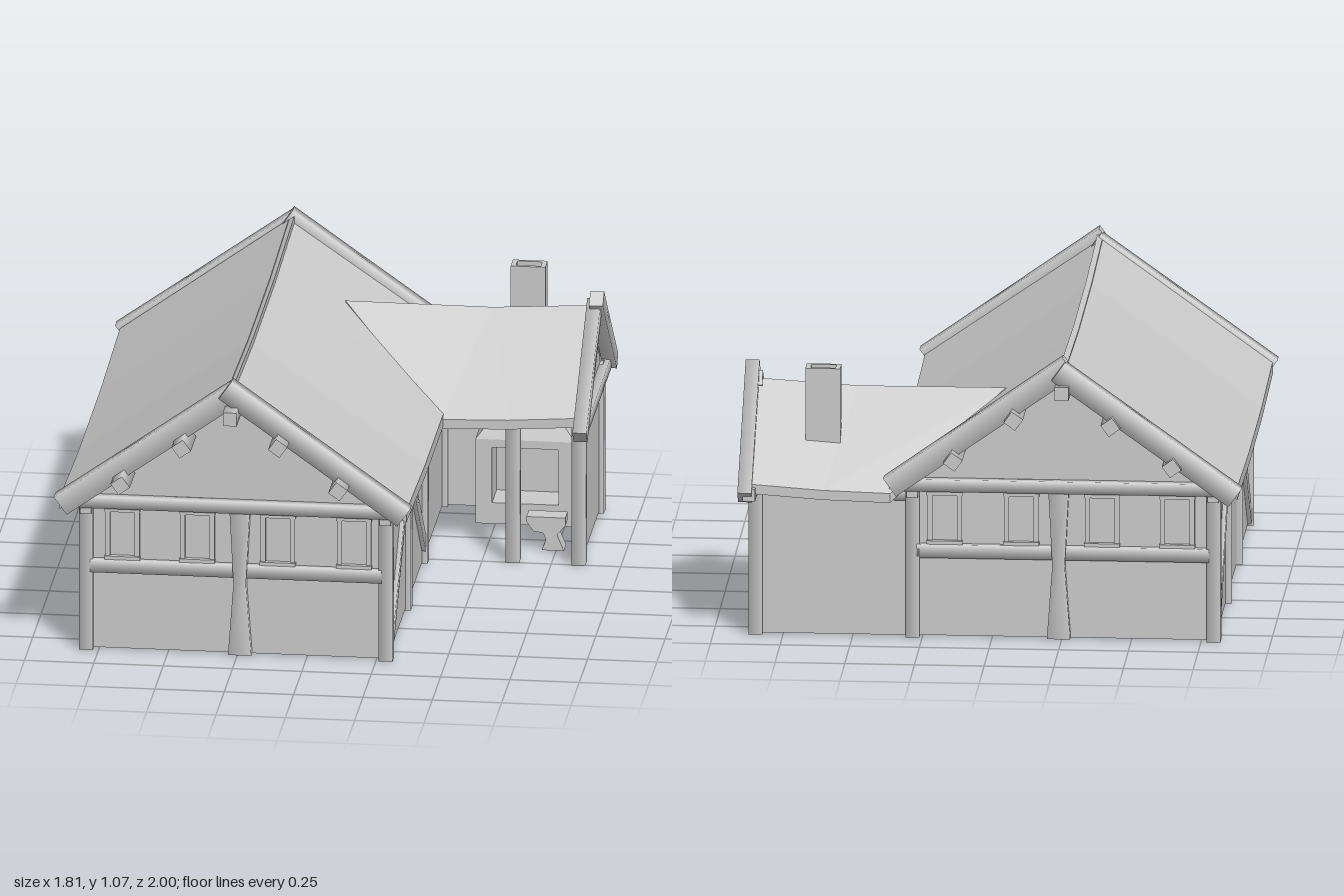
import * as THREE from 'three';

const V = (x, y, z) => new THREE.Vector3(x, y, z);

export function createModel() {
  const model = new THREE.Group();
  const wood = new THREE.MeshStandardMaterial({ color: 0xcccccc });
  const flat = new THREE.MeshStandardMaterial({ color: 0xcccccc, flatShading: true, side: THREE.DoubleSide });

  const add = (name, geometry, material = flat) => {
    const mesh = new THREE.Mesh(geometry, material);
    mesh.name = name;
    model.add(mesh);
    return mesh;
  };

  // Softly shaded square timber between two points
  const beam = (name, a, b, w = 0.05, d = w, twist = 0) => {
    const dir = b.clone().sub(a);
    const g = new THREE.CylinderGeometry(Math.SQRT1_2, Math.SQRT1_2, 1, 4);
    g.rotateY(Math.PI / 4).scale(w, dir.length(), d);
    const m = add(name, g, wood);
    m.position.copy(a).add(b).multiplyScalar(0.5);
    m.quaternion.setFromUnitVectors(V(0, 1, 0), dir.normalize());
    m.rotateY(twist);
    return m;
  };

  const box = (name, x0, x1, y0, y1, z0, z1) => {
    const m = add(name, new THREE.BoxGeometry(x1 - x0, y1 - y0, z1 - z0));
    m.position.set((x0 + x1) / 2, (y0 + y1) / 2, (z0 + z1) / 2);
    return m;
  };

  const plate = (name, points, depth, holes = []) => {
    const toPath = (C, pts) => new C(pts.map(p => new THREE.Vector2(...p)));
    const shape = toPath(THREE.Shape, points);
    holes.forEach(h => shape.holes.push(toPath(THREE.Path, h)));
    return add(name, new THREE.ExtrudeGeometry(shape, { depth, bevelEnabled: false }));
  };

  // Roof slab: stations of [ridge, eave] pairs, given a thickness downwards
  const roofSlab = (name, stations, thick) => {
    const rings = stations.map(([r, e]) => [r, e, V(e.x, e.y - thick, e.z), V(r.x, r.y - thick, r.z)]);
    const pos = [];
    const quad = (a, b, c, d) => [a, b, c, a, c, d].forEach(p => pos.push(p.x, p.y, p.z));
    for (let i = 0; i + 1 < rings.length; i++) {
      const p = rings[i], q = rings[i + 1];
      for (let j = 0; j < 4; j++) quad(p[j], q[j], q[(j + 1) % 4], p[(j + 1) % 4]);
    }
    quad(...rings[0]);
    quad(...rings[rings.length - 1].slice().reverse());
    const g = new THREE.BufferGeometry();
    g.setAttribute('position', new THREE.Float32BufferAttribute(pos, 3));
    g.computeVertexNormals();
    add(name, g);
  };

  // Main roof, sagging in the middle
  const mainStations = (ridgeX, ridgeY, eaveX) => [-0.92, -0.33, 0.33, 0.9].map((z, i) => {
    const sag = i === 1 || i === 2 ? 0.025 : 0;
    return [V(ridgeX, ridgeY - sag, z), V(eaveX, 0.605 - sag, z)];
  });
  roofSlab('mainRoofLeft', mainStations(-0.275, 1.05, 0.365), 0.045);
  roofSlab('mainRoofRight', mainStations(-0.255, 1.062, -0.885).reverse(), 0.045);

  // Side wing roof, cut where it meets the main roof
  const wingStations = eaveZ => [
    [V(-0.03, 0.87, -0.57), V(0.36, 0.565, eaveZ)],
    [V(0.5, 0.868, -0.57), V(0.6, 0.572, eaveZ)],
    [V(0.86, 0.89, -0.57), V(0.86, 0.59, eaveZ)],
  ];
  roofSlab('wingRoofFront', wingStations(-0.2).reverse(), 0.035);
  roofSlab('wingRoofBack', wingStations(-0.935), 0.035);

  // Main walls and ceiling
  box('leftWall', 0.27, 0.29, 0.02, 0.57, -0.84, 0.84);
  box('rightWall', -0.8, -0.78, 0.02, 0.57, -0.84, 0.84);
  box('ceiling', -0.79, 0.28, 0.555, 0.565, -0.83, 0.83);

  // Both gable ends: wall, beams, posts, windows, rafters and purlin ends
  for (const s of [1, -1]) {
    const wall = plate('gableWall', [[-0.8, 0.02], [0.29, 0.02], [0.29, 0.6], [-0.255, 0.99], [-0.8, 0.6]], 0.02);
    wall.position.z = s > 0 ? 0.82 : -0.84;

    beam('tieBeam', V(-0.85, 0.58, s * 0.85), V(0.35, 0.58, s * 0.85), 0.045);
    beam('middleBeam', V(-0.78, 0.335, s * 0.84), V(0.27, 0.335, s * 0.84), 0.05, 0.04);

    // Centre post, pinched at the waist
    const g = new THREE.CylinderGeometry(Math.SQRT1_2, Math.SQRT1_2, 1, 4, 2);
    g.rotateY(Math.PI / 4).scale(0.08, 0.54, 0.06);
    const p = g.attributes.position;
    for (let i = 0; i < p.count; i++) {
      const y = p.getY(i);
      const k = Math.abs(y) < 0.1 ? 0.56 : y > 0 ? 0.9 : 1.05;
      p.setX(i, p.getX(i) * k);
    }
    add('centrePost', g, wood).position.set(-0.24, 0.29, s * 0.84);

    for (const x of [-0.665, -0.395, -0.105, 0.17]) {
      for (const side of [-1, 1])
        box('windowJamb', x + side * 0.053 - 0.009, x + side * 0.053 + 0.009, 0.37, 0.54, s * 0.83 - 0.02, s * 0.83 + 0.02);
      box('windowSill', x - 0.064, x + 0.064, 0.355, 0.373, s * 0.83 - 0.028, s * 0.83 + 0.028);
      box('windowLintel', x - 0.064, x + 0.064, 0.54, 0.558, s * 0.83 - 0.025, s * 0.83 + 0.025);
    }

    const zr = s > 0 ? 0.9 : -0.953, zl = s > 0 ? 0.92 : -0.933;
    beam('bargeBeamRight', V(-0.88, 0.58, zr), V(-0.245, 1.035, zr), 0.08, 0.05);
    beam('bargeBeamLeft', V(0.36, 0.592, zl), V(-0.284, 1.05, zl), 0.08, 0.05);

    for (const [x, y, a] of [[-0.26, 0.96, 0], [-0.435, 0.84, 0.62], [-0.655, 0.692, 0.62], [-0.087, 0.857, -0.62], [0.13, 0.702, -0.62]])
      beam('purlinEnd', V(x, y, s * 0.82), V(x, y, s), 0.05, 0.05, a);
  }

  // Side posts, wall plates and diagonal braces of the main house
  for (const x of [-0.795, 0.285]) {
    for (const z of [-0.835, -0.28, 0.28, 0.835]) {
      const postZ = x > 0 && z === -0.28 ? -0.225 : z;
      beam('sidePost', V(x, 0.015, postZ), V(x, 0.56, postZ));
    }
    beam('wallPlate', V(x, 0.555, -0.87), V(x, 0.555, 0.87), 0.04);
    beam('brace', V(x, 0.04, 0.82), V(x, 0.535, 0.31), 0.04, 0.045);
  }
  beam('brace', V(0.285, 0.53, 0.24), V(0.285, 0.08, -0.21), 0.04, 0.045);
  beam('brace', V(-0.795, 0.04, -0.82), V(-0.795, 0.535, -0.31), 0.04, 0.045);

  // Open wing: back wall, gabled end wall, posts and beams
  box('wingBackWall', 0.28, 0.85, 0.02, 0.58, -0.845, -0.825);
  const end = plate('wingEndWall', [[0.27, 0.02], [0.84, 0.02], [0.84, 0.6], [0.57, 0.83], [0.27, 0.6]], 0.02);
  end.rotation.y = Math.PI / 2;
  end.position.x = 0.835;
  for (const [x, z] of [[0.61, -0.27], [0.848, -0.27], [0.848, -0.835]])
    beam('wingPost', V(x, 0.015, z), V(x, 0.55, z));
  for (const z of [-0.265, -0.84]) {
    beam('wingPlate', V(0.29, 0.54, z), V(0.6, 0.545, z), 0.04);
    beam('wingPlate', V(0.6, 0.545, z), V(0.87, 0.56, z), 0.04);
  }
  beam('wingTieBeam', V(0.865, 0.555, -0.17), V(0.865, 0.555, -0.96), 0.045);
  beam('wingBargeBack', V(0.88, 0.545, -0.955), V(0.88, 0.93, -0.53), 0.05, 0.058);
  beam('wingBargeFront', V(0.867, 0.54, -0.135), V(0.867, 0.895, -0.585), 0.05, 0.058);

  // Hearth with a tapering hood and hollow chimney
  plate('hearthFront', [[0.43, 0.02], [0.79, 0.02], [0.79, 0.34], [0.43, 0.34]], 0.14,
    [[[0.49, 0.1], [0.49, 0.31], [0.73, 0.31], [0.73, 0.1]]]).position.z = -0.78;
  box('hearthBack', 0.43, 0.79, 0.02, 0.34, -0.825, -0.78);
  const hood = box('hearthHood', 0.43, 0.79, 0.34, 0.49, -0.825, -0.64);
  const hp = hood.geometry.attributes.position;
  for (let i = 0; i < hp.count; i++)
    if (hp.getY(i) > 0) hp.setXYZ(i, hp.getX(i) * 0.34, hp.getY(i), hp.getZ(i) * 0.36);
  const chimney = plate('chimney', [[0.55, -0.035], [0.675, -0.035], [0.675, 0.035], [0.55, 0.035]], 0.5,
    [[[0.568, -0.022], [0.568, 0.022], [0.657, 0.022], [0.657, -0.022]]]);
  chimney.rotation.x = -Math.PI / 2;
  chimney.position.set(0, 0.48, -0.735);

  // Anvil
  plate('anvil', [[0.7, 0.02], [0.78, 0.02], [0.755, 0.08], [0.785, 0.115], [0.785, 0.145], [0.645, 0.145],
    [0.645, 0.125], [0.67, 0.09], [0.705, 0.085], [0.715, 0.06]], 0.07).position.z = -0.45;

  return model;
}
